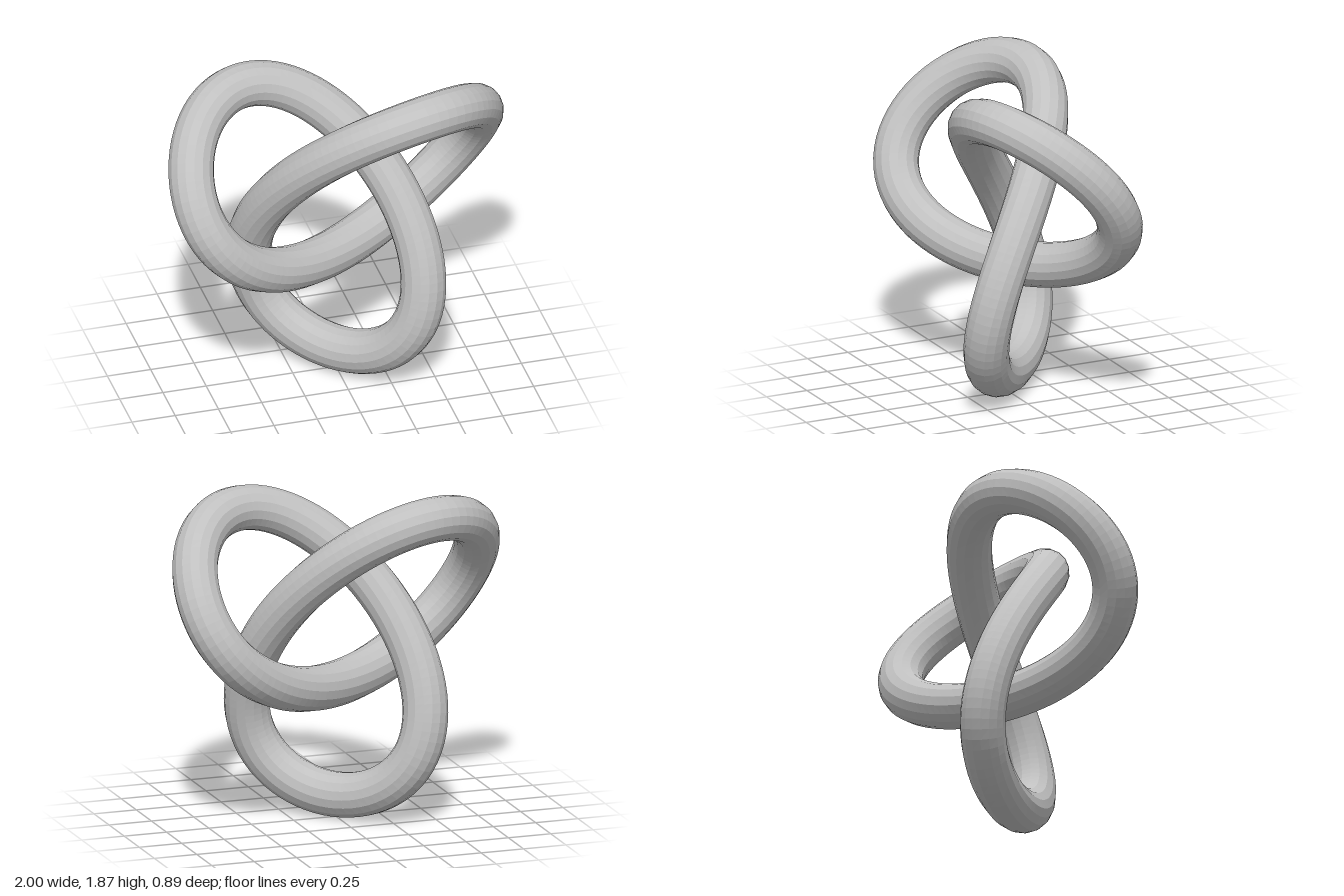
import * as THREE from 'three';

const SCALE = 0.3189;
const TUBE_RADIUS = 0.4 * SCALE;

// Centre line of a three-lobed knot, one lobe hanging straight down
class TrefoilCurve extends THREE.Curve {
  getPoint(u, target = new THREE.Vector3()) {
    const t = u * Math.PI * 2;
    return target.set(
      Math.sin(t) + 2 * Math.sin(2 * t),
      Math.cos(t) - 2 * Math.cos(2 * t),
      -Math.sin(3 * t)
    ).multiplyScalar(SCALE);
  }
}

export function createModel() {
  const grey = new THREE.MeshStandardMaterial({ color: 0xc0c0c0, flatShading: true });
  grey.name = 'light grey';

  // Closed tube with visible long facets
  const curve = new TrefoilCurve();
  curve.arcLengthDivisions = 800;
  const knot = new THREE.Mesh(new THREE.TubeGeometry(curve, 200, TUBE_RADIUS, 16, true), grey);
  knot.name = 'knotTube';
  knot.position.y = 3 * SCALE + TUBE_RADIUS; // lowest lobe rests on the ground

  const model = new THREE.Group();
  model.name = 'trefoilKnot';
  model.add(knot);
  return model;
}
